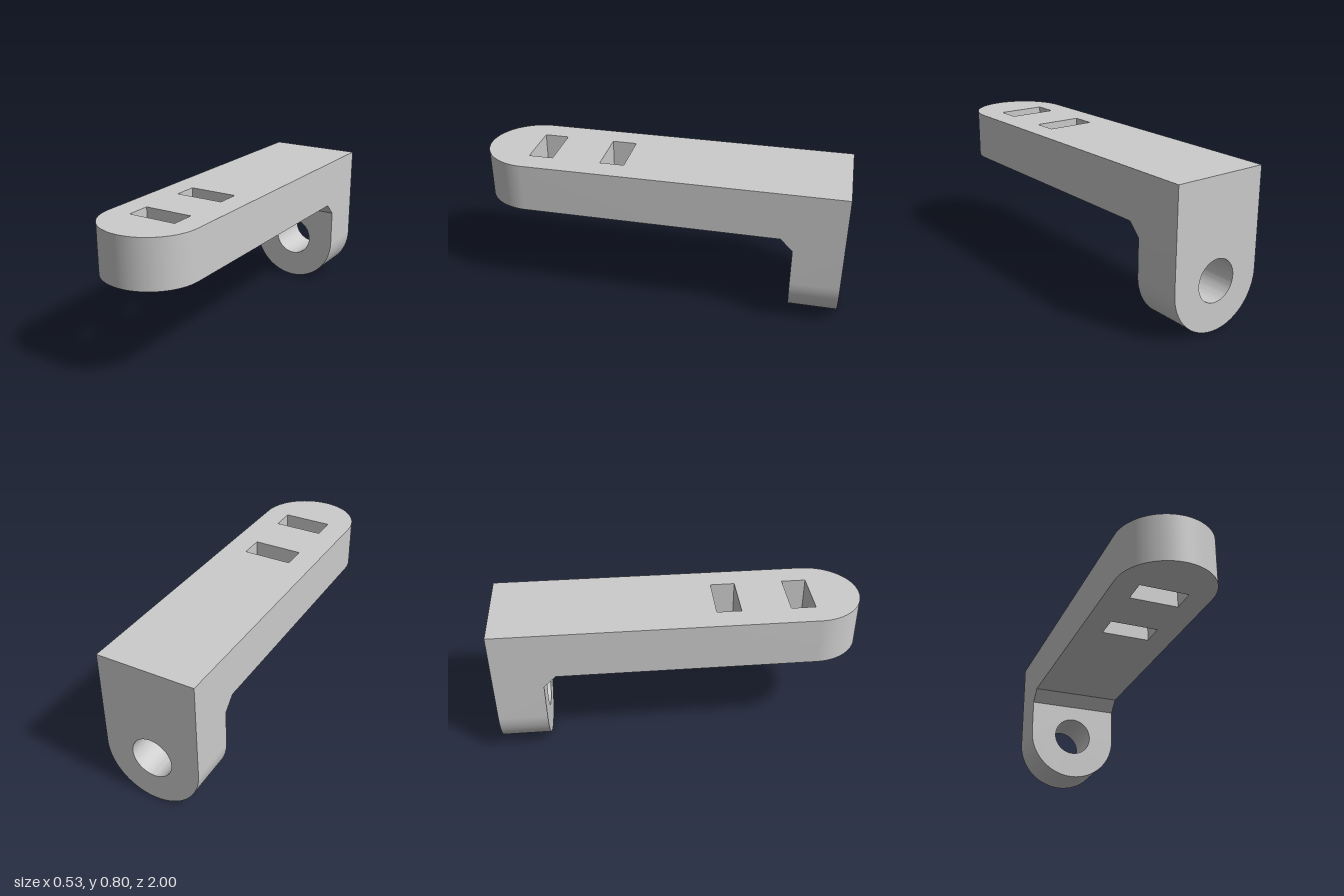
import * as THREE from 'three';
import { toCreasedNormals } from 'three/addons/utils/BufferGeometryUtils.js';

const R = 0.2667;          // half width and radius of the rounded ends
const T = 0.2667;          // plate thickness
const HEIGHT = 0.8;
const CHAMFER = 0.067;

const material = new THREE.MeshStandardMaterial({ color: 0xcccccc });

// Extrude a shape along +z, smooth on curves and sharp at edges
function extrude(shape, depth) {
  const geometry = new THREE.ExtrudeGeometry(shape, { depth, bevelEnabled: false, curveSegments: 40 });
  return toCreasedNormals(geometry, 0.5);
}

// Plate with a square end at y = 0 and a round end at y = length
function tabShape(length, holes) {
  const shape = new THREE.Shape();
  shape.moveTo(-R, 0);
  shape.lineTo(R, 0);
  shape.lineTo(R, length - R);
  shape.absarc(0, length - R, R, 0, Math.PI, false);
  shape.closePath();
  shape.holes.push(...holes);
  return shape;
}

function rectHole(halfWidth, y0, y1) {
  return new THREE.Path([
    new THREE.Vector2(-halfWidth, y0),
    new THREE.Vector2(-halfWidth, y1),
    new THREE.Vector2(halfWidth, y1),
    new THREE.Vector2(halfWidth, y0),
  ]);
}

function addMesh(group, name, geometry) {
  const mesh = new THREE.Mesh(geometry, material);
  mesh.name = name;
  group.add(mesh);
}

export function createModel() {
  const group = new THREE.Group();
  group.name = 'angleBracket';

  // Horizontal arm with two rectangular slots, lying along z
  const slots = [1.2, 1.6].map((y) => rectHole(0.135, y, y + 0.133));
  const arm = extrude(tabShape(2, slots), T);
  arm.rotateX(Math.PI / 2).translate(0, HEIGHT, -1);
  addMesh(group, 'arm', arm);

  // Hanging lug with a round bolt hole
  const bore = new THREE.Path().absarc(0, HEIGHT - T - R, 0.1135, 0, Math.PI * 2, true);
  const lug = extrude(tabShape(HEIGHT - T, [bore]), T);
  lug.rotateZ(Math.PI).translate(0, HEIGHT - T, -1);
  addMesh(group, 'lug', lug);

  // Triangular fillet in the inner corner (profile x becomes z)
  const profile = new THREE.Shape([
    new THREE.Vector2(0, 0),
    new THREE.Vector2(0, -CHAMFER),
    new THREE.Vector2(-CHAMFER, 0),
  ]);
  const fillet = extrude(profile, 2 * R);
  fillet.rotateY(Math.PI / 2).translate(-R, HEIGHT - T, -1 + T);
  addMesh(group, 'cornerFillet', fillet);

  return group;
}
